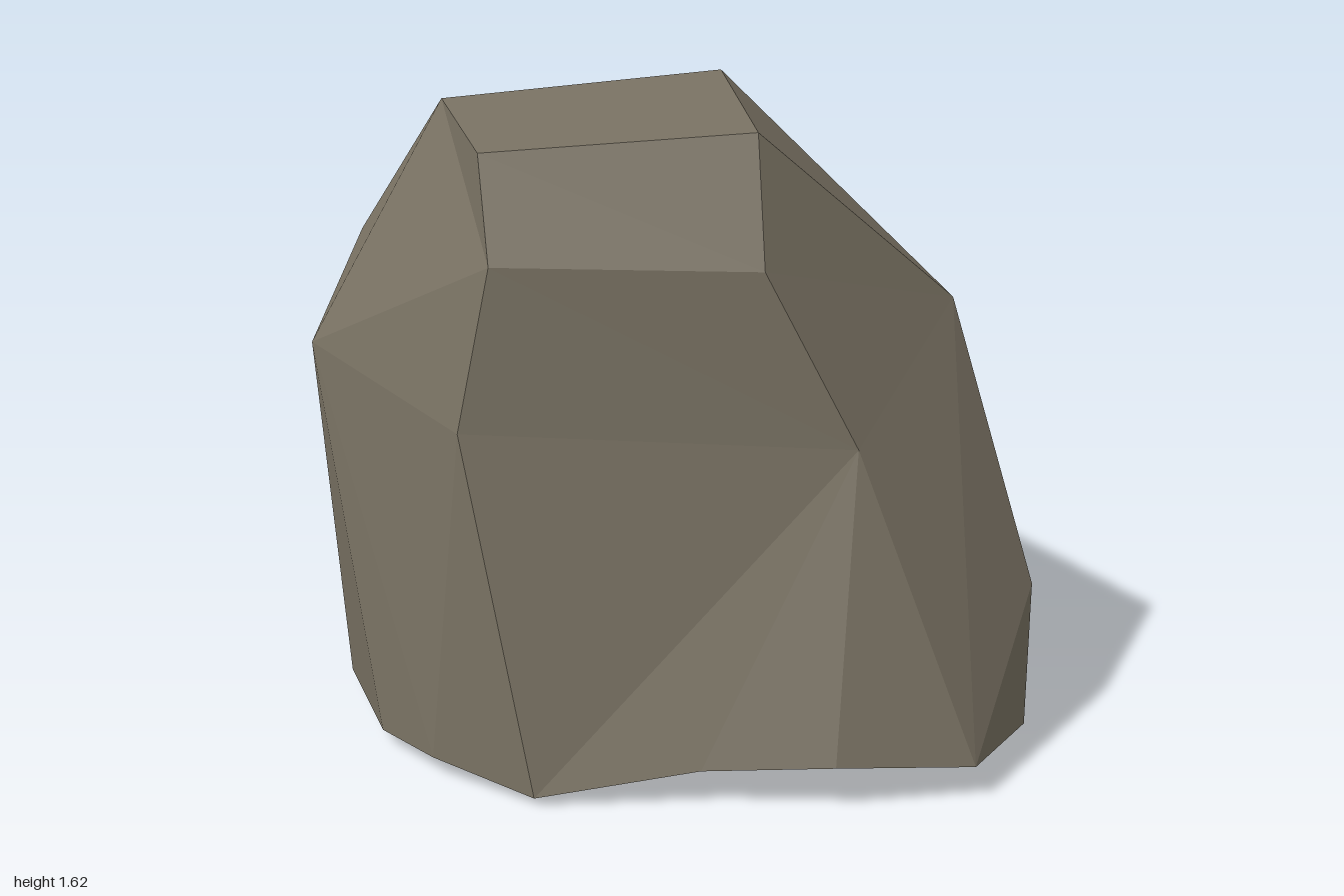
import * as THREE from 'three';

// Corner points of the boulder, grouped by region
const corners = {
  // crest
  a: [-0.57, 1.56, 0.18], b: [0.13, 1.62, 0.15], w: [-0.3, 1.49, -0.14], p: [0.11, 1.47, -0.2],
  // front face, top to bottom
  i: [-0.48, 1.48, 0.52], j: [0.18, 1.52, 0.52], k: [-0.46, 1.24, 0.67], l: [0.18, 1.22, 0.68],
  m: [-0.54, 0.86, 0.73], n: [0.4, 0.8, 0.74],
  // flanks
  c: [0.7, 1.07, 0.35], u: [0.88, 0.38, 0.57], d: [0.9, 0.34, 0.08],
  f: [-0.91, 0.96, 0.25], g: [-0.8, 1.17, -0.13], h: [-0.84, 0.87, -0.29],
  // crease and rear shoulder
  v: [0.23, 1.11, -0.29], q: [-0.12, 1.25, -0.39], e: [0.66, 0.6, -0.18], s: [0.38, 0.88, -0.75],
  t: [0.02, 0.93, -0.86], y: [-0.41, 0.88, -0.73],
  // rear waist
  x: [0.67, 0.3, -0.46], r: [0.17, 0.38, -1], z: [-0.57, 0.38, -0.84],
  // foot, running round from the front
  A: [0.32, 0.11, 1], B: [0.66, 0.08, 0.96], C: [0.87, 0.01, 0.6], D: [0.68, 0.02, -0.2],
  E: [0.5, 0.06, -0.48], F: [0.25, 0.03, -0.73], G: [-0.1, 0.01, -0.85], H: [-0.5, 0.02, -0.72],
  I: [-0.75, 0.02, -0.3], J: [-0.85, 0.04, 0.2], K: [-0.75, 0.04, 0.57], L: [-0.62, 0.05, 0.75],
  M: [-0.38, 0.02, 0.92], N: [0.01, 0.09, 0.95],
  // underside centre
  O: [0, 0, 0.1],
};

// Each fan is a hub corner followed by the corners around it
const sideFans = [
  'nlkmMNABcl', 'cBudepbjl', 'iabjlka', // front, left flank, brow
  'fakmLKJhga', 'mLM', 'wabpqga', // right flank, crest
  'ygqtrzhg', 'sqvexrtq', 'vqpe', // rear shoulder and crease
  'duCDxe', 'CBu', 'rxFGHz', 'xDEF', 'IJhzH', // skirt
];
const baseFans = ['OABCDEFGHIJKLMNA'];

const core = new THREE.Vector3(0, 0.6, 0);

// Turn fans into faceted triangles that all face away from the core
function facets(fans) {
  const points = [];
  for (const fan of fans) {
    for (let i = 1; i < fan.length - 1; i++) {
      const [a, b, c] = [fan[0], fan[i], fan[i + 1]].map((key) => new THREE.Vector3(...corners[key]));
      const normal = b.clone().sub(a).cross(c.clone().sub(a));
      const outward = normal.dot(a.clone().sub(core)) > 0;
      points.push(...(outward ? [a, b, c] : [a, c, b]));
    }
  }
  const geometry = new THREE.BufferGeometry().setFromPoints(points);
  geometry.computeVertexNormals();
  return geometry;
}

export function createModel() {
  const stone = new THREE.MeshStandardMaterial({ color: 0x777061, flatShading: true });
  stone.name = 'stone';

  const model = new THREE.Group();
  model.name = 'boulder';
  const parts = { rockSides: sideFans, rockBase: baseFans };
  for (const [name, fans] of Object.entries(parts)) {
    const mesh = new THREE.Mesh(facets(fans), stone);
    mesh.name = name;
    model.add(mesh);
  }
  return model;
}
